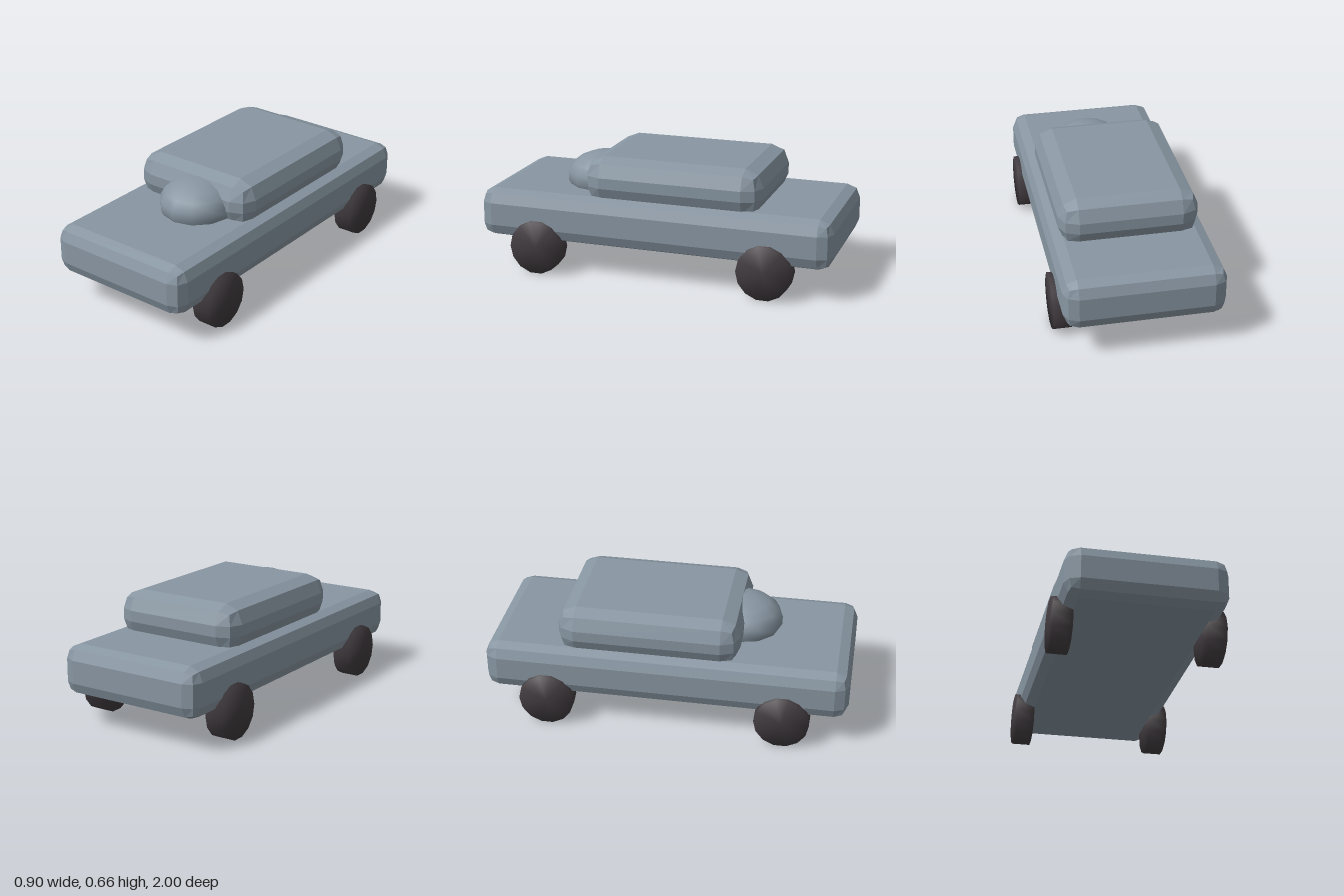
import * as THREE from 'three';
import { mergeVertices } from 'three/addons/utils/BufferGeometryUtils.js';
import { RoundedBoxGeometry } from 'three/addons/geometries/RoundedBoxGeometry.js';

const bodyPaint = new THREE.MeshStandardMaterial({ name: 'slate grey paint', color: 0x8896a2, flatShading: true });
bodyPaint.name = 'slateGreyPaint';
const tyreRubber = new THREE.MeshStandardMaterial({ color: 0x413b3f });
tyreRubber.name = 'darkRubber';

// Same paint, kept smooth for the rounded bubble
const bubblePaint = new THREE.MeshStandardMaterial({ color: 0x8896a2 });
bubblePaint.name = 'slateGreySmooth';

function addPart(parent, name, geometry, material, x, y, z) {
  const mesh = new THREE.Mesh(geometry, material);
  mesh.name = name;
  mesh.position.set(x, y, z);
  parent.add(mesh);
  return mesh;
}

// Cylinder across the car, welded so rim and caps shade as one soft surface
function wheelGeometry() {
  const g = new THREE.CylinderGeometry(0.15, 0.15, 0.1, 14);
  g.rotateZ(Math.PI / 2);
  g.deleteAttribute('normal');
  g.deleteAttribute('uv');
  const welded = mergeVertices(g, 1e-4);
  welded.computeVertexNormals();
  return welded;
}

export function createModel() {
  const car = new THREE.Group();
  car.name = 'car';

  // Lower body and cabin with softened edges
  addPart(car, 'body', new RoundedBoxGeometry(0.85, 0.275, 2, 1, 0.075), bodyPaint, 0, 0.308, 0);
  addPart(car, 'cabin', new RoundedBoxGeometry(0.75, 0.26, 1, 1, 0.1), bodyPaint, 0, 0.53, -0.1);

  // Bubble at the front of the cabin, slightly off centre
  const bubble = new THREE.SphereGeometry(1, 12, 9);
  bubble.scale(0.21, 0.142, 0.222);
  addPart(car, 'frontBubble', bubble, bubblePaint, 0.05, 0.49, 0.375);

  // Four wheels
  const wheel = wheelGeometry();
  for (const [end, z] of [['front', 0.65], ['rear', -0.65]]) {
    for (const [side, x] of [['Left', 0.4], ['Right', -0.4]]) {
      addPart(car, end + side + 'Wheel', wheel, tyreRubber, x, 0.146, z);
    }
  }
  return car;
}
